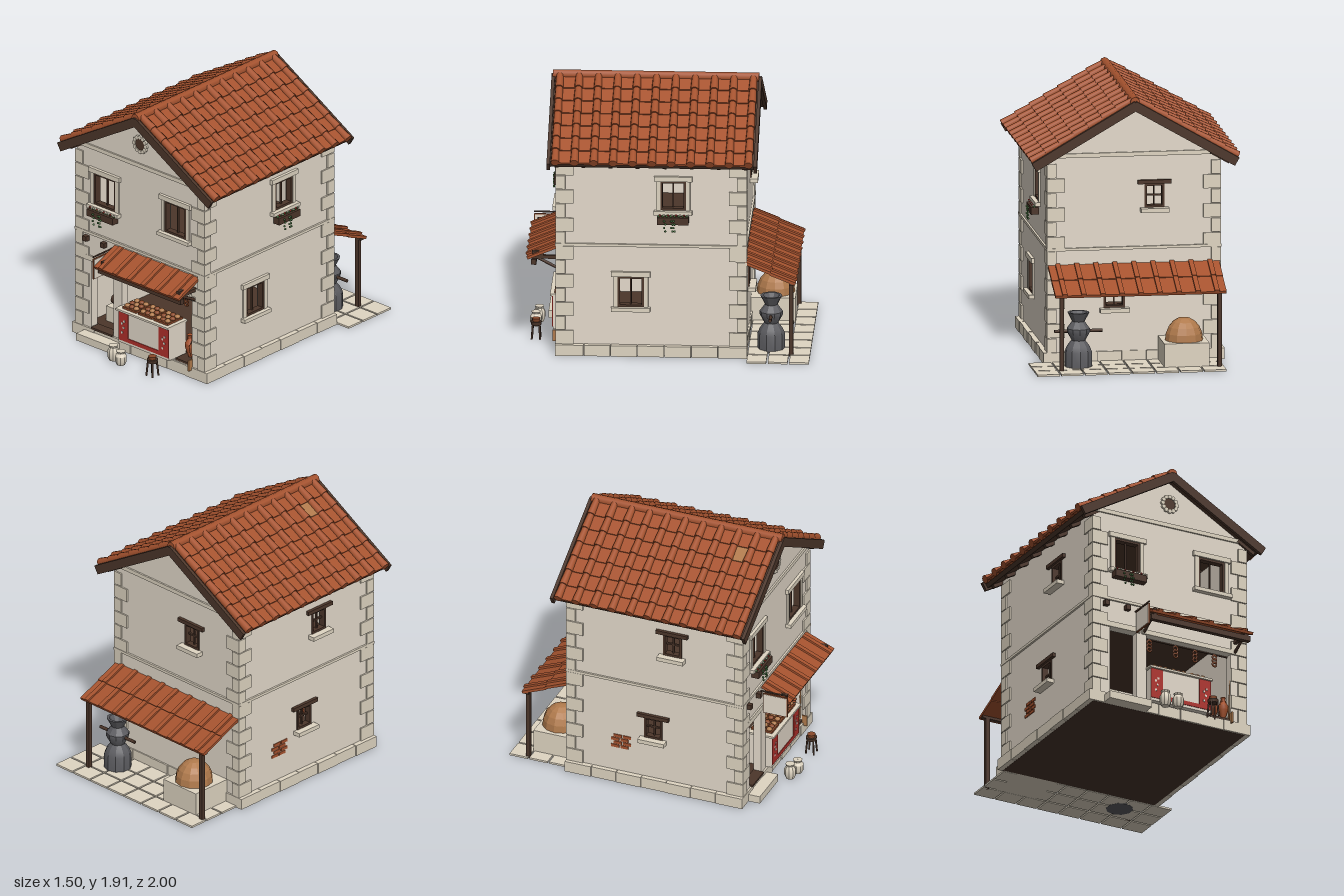
import * as THREE from 'three';
import { toCreasedNormals } from 'three/addons/utils/BufferGeometryUtils.js';

const mat = (name, color) => Object.assign(new THREE.MeshStandardMaterial({ color }), { name });

export function createModel() {
  const M = {
    plaster: mat('plaster', 0xe4dacb), stone: mat('stone', 0xdfd5c2), tile: mat('roofTile', 0xa6532f),
    darkTile: mat('darkTerracotta', 0x8a4a2b), wood: mat('darkWood', 0x4c362a), red: mat('redPaint', 0xb0302a),
    clay: mat('tanClay', 0xb07a4c), basalt: mat('basalt', 0x5c5c60), green: mat('leafGreen', 0x3c6634),
    base: mat('darkBase', 0x46332a),
  };
  const model = new THREE.Group();
  model.name = 'shopHouse';

  // Helpers
  const add = (parent, name, geo, material, x = 0, y = 0, z = 0) => {
    const m = new THREE.Mesh(geo, material);
    m.name = name;
    m.position.set(x, y, z);
    parent.add(m);
    return m;
  };
  const box = (p, name, m, x0, x1, y0, y1, z0, z1) =>
    add(p, name, new THREE.BoxGeometry(x1 - x0, y1 - y0, z1 - z0), m, (x0 + x1) / 2, (y0 + y1) / 2, (z0 + z1) / 2);
  const rod = (p, name, m, a, b, r) => {
    const A = new THREE.Vector3(...a), d = new THREE.Vector3(...b).sub(A);
    const mesh = add(p, name, new THREE.CylinderGeometry(r, r, d.length(), 8), m);
    mesh.position.copy(A).addScaledVector(d, 0.5);
    mesh.quaternion.setFromUnitVectors(new THREE.Vector3(0, 1, 0), d.normalize());
  };
  const lathe = (p, name, m, pts, x, y, z, sides = 14) => add(p, name,
    toCreasedNormals(new THREE.LatheGeometry(pts.map(q => new THREE.Vector2(...q)), sides), 0.5), m, x, y, z);
  const ball = (p, name, m, r, x, y, z, sy = 1) => {
    add(p, name, new THREE.SphereGeometry(r, 10, 6), m, x, y, z).scale.y = sy;
  };
  const group = (p, name, x = 0, y = 0, z = 0) => {
    const g = new THREE.Group();
    g.name = name;
    g.position.set(x, y, z);
    p.add(g);
    return g;
  };

  // Four walls; in each face group +z points outward and z = 0 is the wall surface
  const X = 0.605, ZF = 0.775, ZB = -0.547, T = 0.06;
  const makeWall = (name, x, z, rot, pts, holes) => {
    const g = group(model, name, x, 0, z);
    g.rotation.y = rot;
    const shape = new THREE.Shape(pts.map(p => new THREE.Vector2(...p)));
    for (const [a, b, c, d] of holes) shape.holes.push(new THREE.Path(
      [[a, c], [a, d], [b, d], [b, c]].map(p => new THREE.Vector2(...p))));
    add(g, name + 'Panel', new THREE.ExtrudeGeometry(shape, { depth: T, bevelEnabled: false }), M.plaster, 0, 0, -T);
    return g;
  };
  const gable = [[-X, 0], [X, 0], [X, 1.465], [0, 1.815], [-X, 1.465]];
  const sideR = [[-ZF + T, 0], [-ZB - T, 0], [-ZB - T, 1.465], [-ZF + T, 1.465]];
  const sideL = sideR.map(([u, y]) => [-u, y]).reverse();
  const fWin = [[-0.44, -0.235, 1.05, 1.295], [0.232, 0.44, 1.05, 1.295]];
  const rWin = [[-0.05, 0.13, 1.08, 1.295], [-0.35, -0.165, 0.36, 0.585]];
  const bWin = [[0.075, 0.215, 1.1, 1.27], [-0.215, -0.065, 0.39, 0.555]];
  const lWin = [[0.175, 0.315, 1.105, 1.275], [0.03, 0.17, 0.4, 0.565]];
  const front = makeWall('frontWall', 0, ZF, 0, gable, [...fWin, [-0.47, -0.26, 0.09, 0.6], [-0.18, 0.49, 0.085, 0.6]]);
  const right = makeWall('leftSideWall', X, 0, Math.PI / 2, sideR, rWin);
  const back = makeWall('backWall', 0, ZB, Math.PI, gable, bWin);
  const left = makeWall('rightSideWall', -X, 0, -Math.PI / 2, sideL, lWin);

  // Windows: dark frame with bars, and stone trim or a timber lintel
  const makeWindow = (p, [a, b, c, d], trim) => {
    const g = group(p, 'window'), w = 0.016, m = (a + b) / 2, h = (c + d) / 2;
    for (const [x0, x1, y0, y1] of [[a, a + w, c, d], [b - w, b, c, d], [a, b, c, c + w], [a, b, d - w, d]])
      box(g, 'windowFrame', M.wood, x0, x1, y0, y1, -0.04, 0.008);
    box(g, 'mullion', M.wood, m - 0.005, m + 0.005, c, d, -0.03, -0.015);
    if (trim) {
      for (const s of [a - 0.03, b]) box(g, 'stoneJamb', M.stone, s, s + 0.03, c, d, 0, 0.012);
      box(g, 'stoneLintel', M.stone, a - 0.045, b + 0.045, d, d + 0.036, 0, 0.022);
      box(g, 'stoneSill', M.stone, a - 0.045, b + 0.045, c - 0.028, c, 0, 0.04);
    } else {
      box(g, 'crossBar', M.wood, a, b, h - 0.006, h + 0.006, -0.03, -0.015);
      box(g, 'timberLintel', M.wood, a - 0.05, b + 0.05, d, d + 0.028, -0.02, 0.024);
      box(g, 'stoneSill', M.stone, a - 0.03, b + 0.03, c - 0.03, c, 0, 0.055);
    }
  };
  fWin.forEach(w => makeWindow(front, w, true));
  rWin.forEach(w => makeWindow(right, w, true));
  bWin.forEach(w => makeWindow(back, w, false));
  lWin.forEach(w => makeWindow(left, w, false));

  // Flower boxes with trailing vines
  const flowerBox = (p, u, w, y) => {
    const g = group(p, 'flowerBox', u, y, 0);
    box(g, 'planter', M.wood, -w / 2, w / 2, 0, 0.052, 0.01, 0.065);
    for (let i = 0; i < 8; i++) {
      const x = (i / 7 - 0.5) * w * 0.9;
      ball(g, 'leaf', M.green, 0.01, x, 0.056, 0.04);
      ball(g, 'blossom', i % 2 ? M.stone : M.red, 0.007, x + 0.008, 0.066, 0.05);
    }
    for (const x of [-0.06, -0.01, 0.005]) for (let j = 0; j < 4; j++)
      ball(g, 'vineLeaf', M.green, 0.008, x + (j % 2) * 0.008, 0.03 - j * 0.025, 0.07);
  };
  flowerBox(front, -0.335, 0.25, 0.975);
  flowerBox(right, 0.04, 0.22, 0.99);

  // Corner quoins, plinth blocks, string course and gable bands
  for (const sx of [-1, 1]) for (const [z, sz] of [[ZF, 1], [ZB, -1]]) for (let i = 0; i < 13; i++) {
    const lx = i % 2 ? 0.125 : 0.068, lz = i % 2 ? 0.068 : 0.125, y = 0.08 + i * 0.104;
    add(model, 'quoin', new THREE.BoxGeometry(lx, 0.098, lz), M.stone,
      sx * (X + 0.012 - lx / 2), y + 0.05, z + sz * (0.011 - lz / 2));
  }
  for (const [p, a, b, out, over] of [[front, -X, X, 0.014, 0.038], [right, -ZF, -ZB, 0.038, 0.012],
    [back, -X, X, 0.012, 0.038], [left, ZB, ZF, 0.038, 0.012]]) {
    const n = 7, s = (b - a) / n;
    for (let i = 0; i < n; i++) box(p, 'plinthBlock', M.stone,
      a + i * s - (i ? 0 : over), a + (i + 1) * s - (i < n - 1 ? 0.004 : -over), 0, 0.08, 0, out - (i % 2) * 0.004);
    box(p, 'stringCourse', M.stone, a - 0.014, b + 0.014, 0.805, 0.825, 0, 0.014);
  }
  for (const p of [front, back]) box(p, 'gableBand', M.stone, -X, X, 1.47, 1.5, 0, 0.012);

  // Roof: two slopes of pan tiles and stepped round cover tiles
  const roof = group(model, 'roof', 0, 1.865, 0.105);
  const slopeAngle = Math.atan(0.58);
  const panGeo = new THREE.BoxGeometry(0.134, 0.016, 0.133);
  const coverGeo = new THREE.CylinderGeometry(0.025, 0.03, 0.126, 10).rotateZ(Math.PI / 2);
  for (const side of [0, 1]) {
    const holder = group(roof, 'roofSide');
    holder.rotation.y = side * Math.PI;
    const slope = group(holder, 'roofSlope');
    slope.rotation.z = -slopeAngle;
    box(slope, 'roofDeck', M.wood, 0, 0.825, -0.04, -0.008, -0.715, 0.715);
    for (let i = 0; i < 7; i++) {
      const x = 0.075 + i * 0.117;
      for (let j = 0; j < 10; j++) {
        const patched = side === 1 && i === 1 && j === 1;
        add(slope, 'panTile', panGeo, patched ? M.clay : M.tile, x - 0.005, 0.006, (j - 4.5) * 0.136).rotation.z = 0.07;
      }
      for (let j = 0; j < 11; j++)
        add(slope, 'coverTile', coverGeo, M.tile, x, 0.016, (j - 5) * 0.136).rotation.z = 0.04;
    }
    for (const z of [-0.727, 0.727])
      box(slope, 'bargeBoard', M.wood, 0, 0.845, -0.053, 0.012, z - 0.012, z + 0.012);
    for (let j = 0; j < 8; j++)
      box(slope, 'rafterTail', M.wood, 0.66, 0.81, -0.065, -0.04, -0.672 + j * 0.19, -0.645 + j * 0.19);
  }
  rod(roof, 'ridgeTile', M.tile, [0, 0.005, -0.72], [0, 0.005, 0.73], 0.034);

  // Gable rosette
  const rosette = group(front, 'rosette', 0, 1.65, 0);
  add(rosette, 'rosetteCentre', new THREE.CylinderGeometry(0.043, 0.043, 0.02, 20).rotateX(Math.PI / 2), M.wood);
  for (let i = 0; i < 12; i++) {
    const a = i * Math.PI / 6;
    add(rosette, 'petal', new THREE.CylinderGeometry(0.015, 0.015, 0.03, 8).rotateX(Math.PI / 2), M.stone,
      Math.cos(a) * 0.056, Math.sin(a) * 0.056, 0);
  }

  // Tiled pent roof used over the shop and the yard
  const pentRoof = (p, name, x, y, width, len, angle, strips, rows) => {
    const g = group(p, name, x, y, 0);
    g.rotation.x = angle;
    for (let r = 0; r < rows; r++) {
      const z0 = r * len / rows, z1 = (r + 1) * len / rows, lift = -0.006 * r;
      box(g, 'roofSlab', M.tile, -width / 2, width / 2, -0.02 + lift, lift, z0, z1);
      for (let i = 0; i < strips; i++) {
        const u = (i + 0.5) / strips * width - width / 2;
        box(g, 'coverStrip', M.tile, u - 0.017, u + 0.017, lift, 0.014 + lift, z0, z1 + 0.004);
      }
    }
  };
  pentRoof(front, 'shopAwning', 0.153, 0.79, 0.806, 0.236, 0.4, 6, 1);
  pentRoof(back, 'yardRoof', -0.002, 0.705, 1.215, 0.386, 0.385, 9, 2);

  // Awning beam, struts, beam ends and lintels
  box(front, 'awningBeam', M.wood, -0.24, 0.55, 0.64, 0.68, 0.15, 0.185);
  for (const u of [-0.205, 0.52]) {
    rod(front, 'awningStrut', M.wood, [u, 0.61, 0], [u, 0.7, 0.17], 0.011);
    box(front, 'awningRafter', M.wood, u - 0.012, u + 0.012, 0.68, 0.705, 0, 0.18);
    box(front, 'awningPeg', M.wood, u - 0.012, u + 0.012, 0.705, 0.735, 0.1, 0.18);
  }
  for (const u of [-0.51, -0.34]) box(front, 'beamEnd', M.wood, u - 0.018, u + 0.018, 0.75, 0.787, 0, 0.035);
  box(front, 'shopLintel', M.stone, -0.22, 0.53, 0.6, 0.635, 0, 0.015);
  box(front, 'doorLintel', M.stone, -0.53, -0.235, 0.6, 0.64, 0, 0.012);

  // Hanging board beside the awning
  rod(front, 'signArm', M.wood, [-0.268, 0.76, 0], [-0.268, 0.76, 0.205], 0.006);
  box(front, 'signBoard', M.darkTile, -0.274, -0.262, 0.59, 0.745, 0.02, 0.205);
  box(front, 'signFace', M.plaster, -0.277, -0.259, 0.595, 0.74, 0.025, 0.2);

  // Interior floors and base
  box(model, 'baseUnderside', M.base, -X, X, -0.001, 0.01, ZB, ZF);
  box(model, 'shopFloor', M.wood, -X + T, X - T, 0.01, 0.085, ZB + T, ZF - 0.01);
  box(model, 'upperFloor', M.wood, -X + T, X - T, 0.79, 0.82, ZB + T, ZF - T);

  // Door step, block and barrel inside the door
  box(front, 'doorStep', M.stone, -0.525, -0.19, 0, 0.055, 0, 0.1);
  box(front, 'doorSill', M.wood, -0.46, -0.26, 0.08, 0.095, -0.06, 0.02);
  box(front, 'stoneBlock', M.stone, -0.47, -0.32, 0.085, 0.2, -0.3, -0.15);
  rod(front, 'barrel', M.wood, [-0.46, 0.235, -0.22], [-0.37, 0.235, -0.22], 0.035);

  // Shop counter with painted panels and trays of loaves
  const counter = group(front, 'counter', 0, 0, 0.01);
  box(counter, 'counterBody', M.plaster, -0.17, 0.31, 0.085, 0.33, -0.14, 0.035);
  box(counter, 'counterTop', M.stone, -0.185, 0.315, 0.33, 0.345, -0.15, 0.055);
  box(counter, 'redBand', M.red, -0.076, 0.215, 0.105, 0.135, 0.035, 0.04);
  for (const u of [-0.17, 0.215]) {
    box(counter, 'redPanel', M.red, u, u + 0.095, 0.105, 0.33, 0.035, 0.04);
    for (const [dx, y] of [[0.03, 0.16], [0.045, 0.2], [0.03, 0.23], [0.05, 0.25]])
      box(counter, 'paintedFlower', M.plaster, u + dx, u + dx + 0.014, y, y + 0.016, 0.04, 0.043);
  }
  for (const u of [-0.08, 0.07, 0.22]) {
    box(counter, 'breadTray', M.darkTile, u - 0.065, u + 0.065, 0.345, 0.36, -0.135, 0.025);
    for (let i = 0; i < 9; i++) ball(counter, 'loaf', i % 2 ? M.darkTile : M.clay, 0.022,
      u - 0.042 + (i % 3) * 0.042, 0.366, -0.105 + Math.floor(i / 3) * 0.05, 0.7);
  }

  // Shelf rack on the back wall and goods hanging from a rail
  for (const u of [-0.16, 0.295]) box(model, 'rackPost', M.wood, u - 0.008, u + 0.008, 0.085, 0.53, -0.48, -0.4);
  for (const y of [0.39, 0.515]) {
    box(model, 'rackShelf', M.wood, -0.16, 0.295, y, y + 0.012, -0.48, -0.4);
    for (const u of [-0.12, -0.05, 0.25])
      ball(model, 'shelfLoaf', M.darkTile, 0.026, u, y + 0.022, -0.44, 0.6);
  }
  rod(front, 'hangingRail', M.wood, [-0.18, 0.595, -0.05], [0.49, 0.595, -0.05], 0.006);
  for (const u of [-0.13, 0.08, 0.235, 0.39]) for (let j = 0; j < 3; j++)
    add(front, 'hangingRing', new THREE.TorusGeometry(0.016, 0.007, 6, 12), M.darkTile, u, 0.575 - j * 0.027, -0.05);

  // Wall shelf and pot inside the far wall
  box(model, 'smallShelf', M.wood, -0.545, -0.475, 0.43, 0.44, 0.17, 0.25);
  lathe(model, 'shelfPot', M.tile, [[0.001, 0], [0.015, 0], [0.024, 0.03], [0.014, 0.045], [0.018, 0.055]], -0.51, 0.44, 0.21);

  // Amphorae, pale jars and stool at the shop front
  const amphora = [[0.001, 0], [0.012, 0.005], [0.036, 0.08], [0.036, 0.11], [0.014, 0.145], [0.014, 0.165], [0.02, 0.175], [0.001, 0.175]];
  for (const [u, z] of [[0.395, -0.08], [0.46, -0.05]]) {
    lathe(front, 'amphora', M.tile, amphora, u, 0.1, z);
    for (const s of [-1, 1]) rod(front, 'amphoraHandle', M.tile, [u + s * 0.03, 0.21, z], [u + s * 0.014, 0.26, z], 0.005);
  }
  box(front, 'amphoraStand', M.wood, 0.33, 0.49, 0.085, 0.1, -0.12, 0);
  box(front, 'leaningBoard', M.clay, 0.482, 0.494, 0.06, 0.14, 0, 0.04);
  rod(front, 'leaningPole', M.clay, [0.486, 0.1, -0.02], [0.495, 0.4, -0.01], 0.006);
  const jar = [[0.001, 0], [0.03, 0], [0.042, 0.03], [0.042, 0.075], [0.028, 0.1], [0.034, 0.115], [0.001, 0.115]];
  lathe(front, 'paleJar', M.stone, jar, -0.115, 0, 0.16, 9);
  lathe(front, 'paleJar', M.stone, jar.map(([r, y]) => [r, y * 0.9]), -0.025, 0, 0.18, 9);
  const stool = group(front, 'stool', 0.262, 0, 0.165);
  add(stool, 'stoolSeat', new THREE.CylinderGeometry(0.04, 0.036, 0.025, 12), M.wood, 0, 0.115, 0);
  add(stool, 'stoolBasket', new THREE.CylinderGeometry(0.03, 0.025, 0.025, 10), M.darkTile, 0, 0.138, 0);
  for (const sx of [-1, 1]) for (const sz of [-1, 1])
    rod(stool, 'stoolLeg', M.wood, [sx * 0.03, 0, sz * 0.03], [sx * 0.022, 0.11, sz * 0.022], 0.007);

  // Yard: paving, posts, mill and oven
  for (let i = 0; i < 8; i++) for (let j = 0; j < 3; j++)
    box(model, 'pavingSlab', M.stone, -0.59 + i * 0.169, -0.433 + i * 0.169, 0, 0.014, -1 + j * 0.15, -0.862 + j * 0.15);
  for (const u of [-0.56, 0.56]) box(back, 'yardPost', M.wood, u - 0.015, u + 0.015, 0, 0.56, 0.305, 0.335);
  box(back, 'yardBeam', M.wood, -0.6, 0.6, 0.535, 0.56, 0.305, 0.335);
  lathe(model, 'mill', M.basalt, [[0.001, -0.001], [0.097, -0.001], [0.097, 0.12], [0.08, 0.16], [0.05, 0.2], [0.082, 0.26],
    [0.082, 0.285], [0.045, 0.335], [0.078, 0.4], [0.06, 0.4], [0.035, 0.35], [0.001, 0.35]], 0.42, 0, -0.72, 10);
  rod(model, 'millBar', M.wood, [0.25, 0.265, -0.72], [0.59, 0.265, -0.72], 0.012);
  box(model, 'ovenBase', M.stone, -0.49, -0.17, 0, 0.18, -0.86, ZB);
  add(model, 'ovenDome', toCreasedNormals(new THREE.SphereGeometry(0.135, 12, 5, 0, Math.PI * 2, 0, Math.PI / 2), 0.1),
    M.clay, -0.33, 0.18, -0.715).scale.y = 1.2;

  // Exposed bricks on the side wall
  for (let r = 0; r < 4; r++) for (let i = 0; i < 2; i++)
    box(left, 'exposedBrick', M.tile, -0.22 + i * 0.07 + (r % 2) * 0.02, -0.16 + i * 0.07 + (r % 2) * 0.02,
      0.265 + r * 0.028, 0.287 + r * 0.028, 0, 0.006);

  return model;
}
